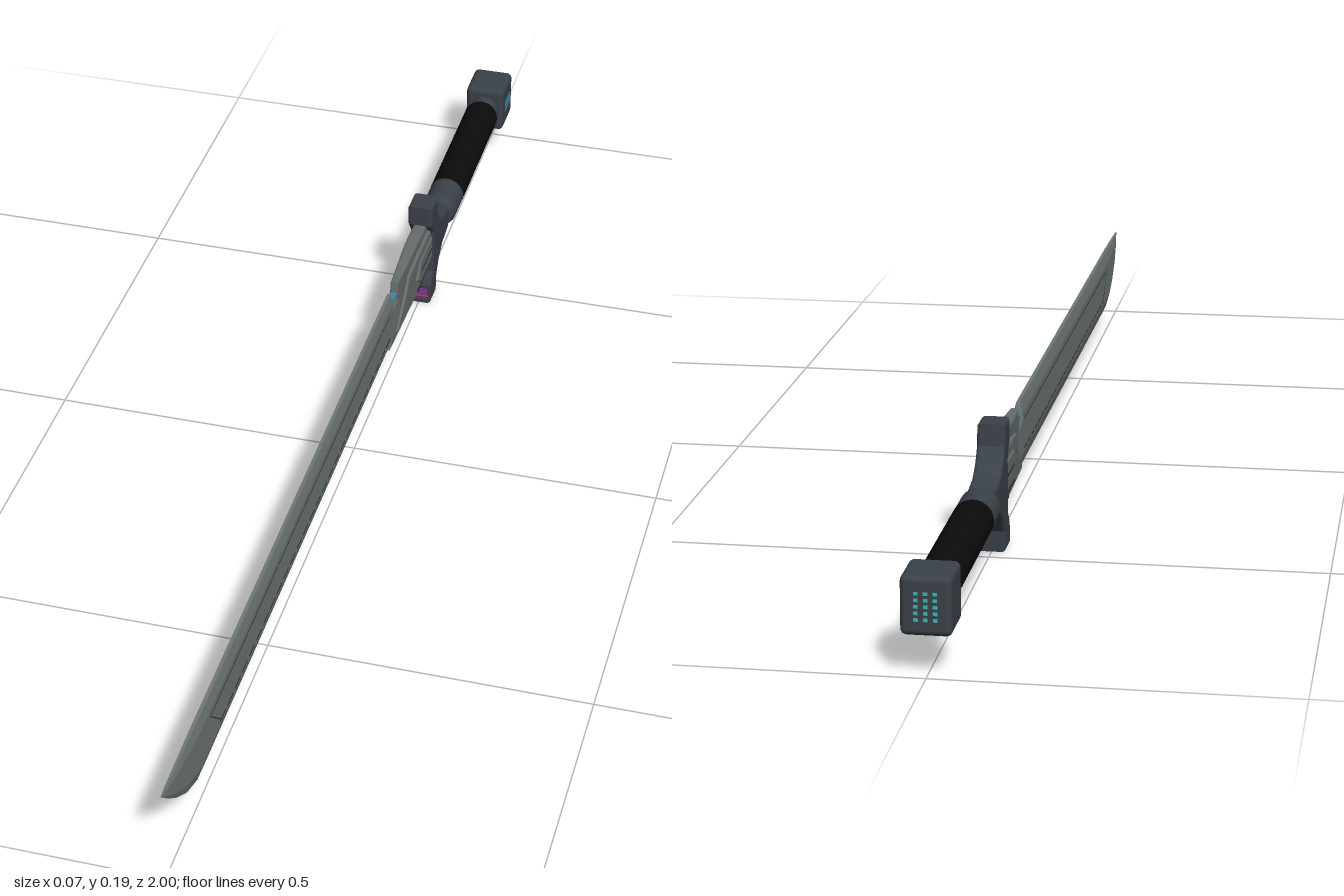
import * as THREE from 'three';
import { RoundedBoxGeometry } from 'three/addons/geometries/RoundedBoxGeometry.js';

const mat = (name, color) => {
  const m = new THREE.MeshStandardMaterial({ color });
  m.name = name;
  return m;
};

// Flat-faced skin over rings of [x, y, z], counter-clockwise seen from +z, z increasing
function loft(rings) {
  const n = rings[0].length, index = [];
  for (let r = 0; r < rings.length - 1; r++) {
    for (let i = 0; i < n; i++) {
      const a = r * n + i, b = r * n + (i + 1) % n;
      index.push(a, b, b + n, a, b + n, a + n);
    }
  }
  const last = (rings.length - 1) * n;
  for (let i = 1; i < n - 1; i++) {
    index.push(0, i + 1, i, last, last + i, last + i + 1);
  }
  const g = new THREE.BufferGeometry();
  g.setAttribute('position', new THREE.Float32BufferAttribute(rings.flat(2), 3));
  g.setIndex(index);
  const flat = g.toNonIndexed();
  flat.computeVertexNormals();
  return flat;
}

// Bevelled slab cut to a [z, y] outline and centred on x = 0
function slab(points, thickness, bevel) {
  const shape = new THREE.Shape(points.map(([z, y]) => new THREE.Vector2(z, y)));
  const g = new THREE.ExtrudeGeometry(shape, {
    depth: thickness - 2 * bevel, bevelThickness: bevel, bevelSize: bevel,
    bevelOffset: -bevel, bevelSegments: 2,
  });
  g.translate(0, 0, -(thickness - 2 * bevel) / 2);
  return g.rotateY(-Math.PI / 2);
}

// Narrow a slab toward the blade
function taper(g) {
  const p = g.attributes.position;
  for (let i = 0; i < p.count; i++) {
    const t = THREE.MathUtils.clamp((-0.22 - p.getZ(i)) / 0.15, 0, 1);
    p.setX(i, p.getX(i) * (0.5 + 0.5 * t));
  }
  g.computeVertexNormals();
  return g;
}

export function createModel() {
  const steel = mat('blade steel', 0x6f7876);
  const plate = mat('collar steel', 0x666d6d);
  const seam = mat('dark seam', 0x2a2e30);
  const gunmetal = mat('gunmetal', 0x3b4149);
  const black = mat('grip black', 0x0b0b0c);
  const blue = mat('blue light', 0x3f86ad);
  const cyan = mat('cyan light', 0x3fb5b5);
  const purple = mat('purple light', 0x8a2fa8);
  const red = mat('red light', 0xe0355a);

  const model = new THREE.Group();
  model.name = 'sword';
  const add = (name, geometry, material, x = 0, y = 0, z = 0) => {
    const m = new THREE.Mesh(geometry, material);
    m.name = name;
    m.position.set(x, y, z);
    model.add(m);
    return m;
  };
  const box = (name, material, w, h, d, x, y, z) =>
    add(name, new THREE.BoxGeometry(w, h, d), material, x, y, z);

  // Blade: [z, edge height, spine height, half thickness]
  const stations = [
    [-0.44, 0.05, 0.137, 0.007], [-0.225, 0.05, 0.137, 0.007], [-0.22, 0.049, 0.158, 0.007],
    [0.8, 0.048, 0.158, 0.007], [0.85, 0.049, 0.158, 0.007], [0.895, 0.067, 0.158, 0.006],
    [0.94, 0.099, 0.158, 0.005], [0.975, 0.131, 0.158, 0.003], [1, 0.157, 0.158, 0.0005],
  ];
  add('blade', loft(stations.map(([z, e, s, t]) => {
    const h = s - e, low = e + 0.22 * h, high = s - 0.17 * h;
    return [[0.0005, e, z], [t, low, z], [t, high, z], [t * 0.4, s, z],
      [-t * 0.4, s, z], [-t, high, z], [-t, low, z], [-0.0005, e, z]];
  })), steel);

  // Engraved panel lines on both flats of the blade
  for (const side of [1, -1]) {
    const x = side * 0.007;
    for (let z = -0.19; z < 0.76; z += 0.036) {
      box('panelDash', seam, 0.001, 0.0025, 0.026, x, 0.08, z);
    }
    box('panelLine', seam, 0.001, 0.0015, 1.0, x, 0.128, 0.3);
    box('panelEnd', seam, 0.001, 0.0015, 0.068, x, 0.104, 0.778).rotation.x = -Math.PI * 0.25;
  }

  // Notch light at the root of the spine
  box('notchLight', blue, 0.012, 0.005, 0.022, 0, 0.139, -0.238);

  // Blade collar built from stacked tapering slabs
  add('collar', taper(slab([[-0.45, 0.05], [-0.21, 0.05], [-0.235, 0.085], [-0.25, 0.13],
    [-0.255, 0.158], [-0.36, 0.163], [-0.39, 0.163], [-0.45, 0.158]], 0.022, 0.004)), plate);
  add('collarPanel', taper(slab([[-0.45, 0.065], [-0.245, 0.065], [-0.29, 0.105], [-0.31, 0.135],
    [-0.37, 0.145], [-0.45, 0.145]], 0.032, 0.004)), plate);
  add('collarBlock', slab([[-0.45, 0.085], [-0.37, 0.085], [-0.35, 0.1], [-0.37, 0.128],
    [-0.45, 0.128]], 0.037, 0.003), plate);
  for (const side of [1, -1]) {
    box('collarGroove', seam, 0.001, 0.003, 0.09, side * 0.0162, 0.076, -0.4);
    box('collarGroove', seam, 0.001, 0.003, 0.07, side * 0.0186, 0.106, -0.41);
    for (let i = 0; i < 3; i++) {
      box('collarVent', seam, 0.001, 0.007, 0.004, side * 0.011, 0.0585, -0.385 - i * 0.012);
    }
  }

  // Cross guard with a swept back
  add('guard', slab([[-0.43, 0], [-0.43, 0.036], [-0.447, 0.058], [-0.447, 0.137], [-0.43, 0.159],
    [-0.43, 0.195], [-0.474, 0.195], [-0.477, 0.163], [-0.492, 0.143], [-0.515, 0.128],
    [-0.56, 0.121], [-0.56, 0.079], [-0.515, 0.07], [-0.492, 0.054], [-0.477, 0.033],
    [-0.474, 0]], 0.042, 0.005), gunmetal);

  // Small display on the lower end of the guard
  for (let i = 0; i < 3; i++) {
    box('guardDisplay', purple, 0.03, 0.003, 0.002, 0, 0.019 + i * 0.0045, -0.4295);
  }
  box('guardDisplayLine', red, 0.034, 0.002, 0.002, 0, 0.0145, -0.4295);
  for (let i = -3; i <= 3; i++) {
    box('guardDisplayDot', purple, 0.002, 0.003, 0.002, i * 0.0045, 0.009, -0.4295);
  }

  // Ferrules and ribbed grip, turned about the z axis
  const turn = (name, profile, material) => {
    const g = new THREE.LatheGeometry(profile.map(([r, z]) => new THREE.Vector2(r, z)), 24);
    add(name, g.rotateX(Math.PI / 2), material, 0, 0.1, 0);
  };
  turn('frontFerrule', [[0, -0.63], [0.03, -0.63], [0.03, -0.63], [0.03, -0.575], [0.03, -0.575],
    [0.025, -0.557], [0.025, -0.557], [0, -0.557]], gunmetal);
  turn('rearFerrule', [[0, -0.93], [0.026, -0.93], [0.026, -0.93], [0.026, -0.897],
    [0.026, -0.897], [0, -0.897]], gunmetal);
  const ribs = [];
  for (let i = 0; i <= 44; i++) ribs.push([i % 2 ? 0.0305 : 0.0285, -0.902 + i * 0.00625]);
  turn('grip', ribs, black);

  // Pommel with a side window and rear indicator lights
  add('pommel', new RoundedBoxGeometry(0.07, 0.083, 0.077, 3, 0.009), gunmetal, 0, 0.099, -0.9615);
  box('pommelWindow', blue, 0.002, 0.022, 0.038, 0.0348, 0.099, -0.961);
  for (let c = -1; c <= 1; c++) {
    for (let r = -2; r <= 2; r++) {
      box('pommelLight', cyan, 0.006, 0.005, 0.002, c * 0.013, 0.099 + r * 0.009, -0.9995);
    }
  }
  return model;
}
